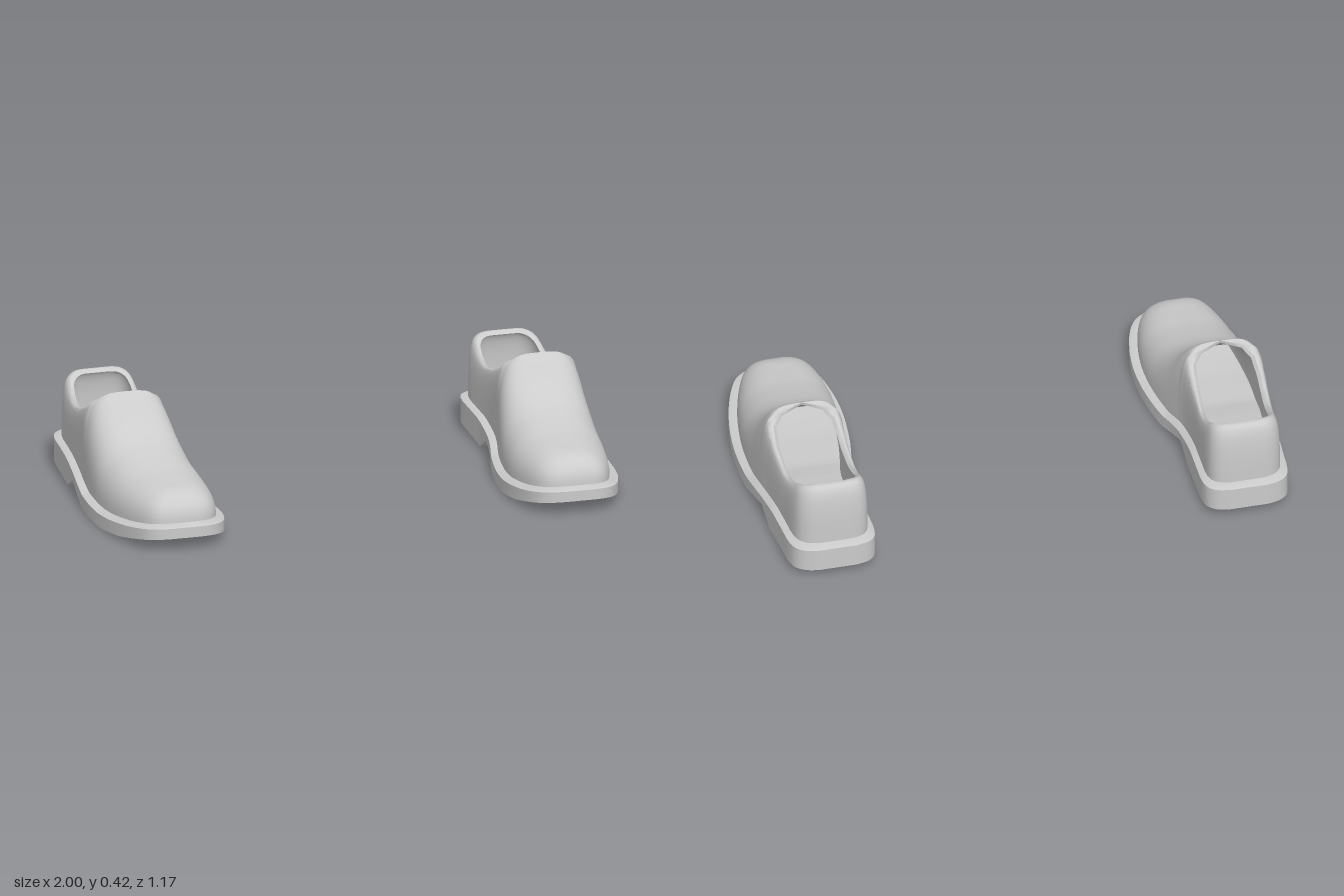
import * as THREE from 'three';
import { mergeVertices, toCreasedNormals } from 'three/addons/utils/BufferGeometryUtils.js';

// Piecewise-linear lookup in a table of [z, value] rows, z falling
function lookup(table, z) {
  if (z >= table[0][0]) return table[0][1];
  for (let i = 1; i < table.length; i++) {
    const [z0, v0] = table[i - 1], [z1, v1] = table[i];
    if (z >= z1) return v0 + (v1 - v0) * (z0 - z) / (z0 - z1);
  }
  return table[table.length - 1][1];
}

// Sole plan: z, inner x, outer x from toe to heel
const PLAN = [
  [0.585, 0.71, 0.82], [0.575, 0.665, 0.865], [0.55, 0.625, 0.9], [0.5, 0.593, 0.93],
  [0.4, 0.566, 0.965], [0.3, 0.556, 0.986], [0.2, 0.56, 0.997], [0.1, 0.572, 1.0],
  [0, 0.592, 0.995], [-0.074, 0.61, 0.989], [-0.095, 0.614, 0.987], [-0.13, 0.62, 0.983],
  [-0.175, 0.624, 0.978], [-0.265, 0.628, 0.97], [-0.4, 0.626, 0.96], [-0.5, 0.626, 0.952],
  [-0.545, 0.637, 0.937], [-0.572, 0.665, 0.905], [-0.585, 0.715, 0.86],
];
const SOLE_TOP = [[0.585, 0.09], [0.45, 0.07], [0.3, 0.055], [0.2, 0.05], [0, 0.055], [-0.1, 0.075], [-0.3, 0.107], [-0.585, 0.12]];
const SOLE_BOTTOM = [[0.585, 0.05], [0.4, 0.016], [0.25, 0], [0.15, 0], [0, 0.005], [-0.175, 0.055], [-0.265, 0.007], [-0.585, 0.03]];
// Height of the vamp ridge, then of the opening's rim
const RIM_Y = [[0.4, 0.21], [0.3, 0.226], [0.2, 0.25], [0.12, 0.276], [0.05, 0.315], [0, 0.36], [-0.04, 0.4], [-0.07, 0.42],
  [-0.1, 0.375], [-0.14, 0.35], [-0.22, 0.315], [-0.325, 0.293], [-0.4, 0.313], [-0.5, 0.37]];
// Rim width as a share of the base width: 0 where the vamp is closed
const RIM_W = [[-0.07, 0], [-0.09, 0.55], [-0.12, 0.74], [-0.2, 0.83], [-0.35, 0.86], [-0.555, 0.85]];
// Squareness of the arched cross-section
const SQUARE = [[0.35, 2.4], [0.15, 2.5], [-0.05, 3.6], [-0.55, 3]];

// Closed plan ring: toe to heel on the outer side, back on the inner side; c is the centre line
function planRing(sub = 3) {
  const side = k => new THREE.CatmullRomCurve3(PLAN.map(p => new THREE.Vector3(p[k], 0, p[0]))).getPoints((PLAN.length - 1) * sub);
  const inner = side(1), outer = side(2);
  const row = (p, i) => ({ x: p.x, z: (inner[i].z + outer[i].z) / 2, c: (inner[i].x + outer[i].x) / 2 });
  return [...outer.map(row), ...inner.map(row).reverse()];
}

// Skin a stack of closed rings; sign -1 mirrors the result in x
function loft(rings, sign, crease) {
  const n = rings[0].length, pos = [], index = [];
  rings.forEach(r => r.forEach(p => pos.push(p[0] * sign, p[1], p[2])));
  for (let i = 0; i < rings.length - 1; i++) {
    for (let j = 0; j < n; j++) {
      const a = i * n + j, b = i * n + (j + 1) % n, c = a + n, d = b + n;
      if (sign > 0) index.push(a, b, d, a, d, c);
      else index.push(a, d, b, a, c, d);
    }
  }
  let geo = new THREE.BufferGeometry();
  geo.setAttribute('position', new THREE.Float32BufferAttribute(pos, 3));
  geo.setIndex(index);
  geo = mergeVertices(geo, 1e-5);
  // drop collapsed triangles
  const src = geo.index.array, keep = [];
  for (let i = 0; i < src.length; i += 3) {
    const [a, b, c] = [src[i], src[i + 1], src[i + 2]];
    if (a !== b && b !== c && a !== c) keep.push(a, b, c);
  }
  geo.setIndex(keep);
  return toCreasedNormals(geo, crease);
}

function soleGeometry(plan, sign) {
  const ring = (k, kz, y) => plan.map(p => [p.c + (p.x - p.c) * k, y(p.z), p.z * kz]);
  const bottom = z => lookup(SOLE_BOTTOM, z), top = z => lookup(SOLE_TOP, z);
  return loft([
    ring(0, 1, bottom), ring(1, 1, bottom), ring(1, 1, top),
    ring(0.86, 0.945, z => top(z) + 0.01), ring(0, 0.945, z => top(z) + 0.01),
  ], sign, 0.5);
}

function upperGeometry(plan, sign, rows = 14) {
  // Each column climbs from the welt to the rim, or to the ridge of the vamp
  const columns = plan.map(p => {
    const zb = p.z * 0.943, xb = (p.x - p.c) * 0.865, yb = lookup(SOLE_TOP, p.z) + 0.005;
    const zr = zb > 0.3 ? 0.3 + (zb - 0.3) * 0.4 : zb > -0.07 ? zb : -0.07 + (zb + 0.07) * 0.9;
    const xr = xb * lookup(RIM_W, zb), yr = lookup(RIM_Y, zr), e = 2 / lookup(SQUARE, zb);
    return Array.from({ length: rows + 1 }, (_, i) => {
      const a = i / rows * Math.PI / 2;
      const f = i === rows ? 0 : Math.cos(a) ** e, g = Math.sin(a) ** e;
      return [p.c + xr + (xb - xr) * f, yb + (yr - yb) * g, zr + (zb - zr) * f];
    });
  });
  const outside = Array.from({ length: rows + 1 }, (_, i) => columns.map(col => col[i]));
  // Lining: the same rings pulled inward, running back down to the sole
  const lining = outside.map((r, i) => r.map((p, j) =>
    [plan[j].c + (p[0] - plan[j].c) * 0.9, p[1] - 0.012 * i / rows, p[2] * 0.97])).reverse();
  return loft([...outside, ...lining], sign, 0.75);
}

export function createModel() {
  const model = new THREE.Group();
  model.name = 'pairOfShoes';
  const material = new THREE.MeshStandardMaterial({ color: 0xcccccc, side: THREE.DoubleSide });
  const plan = planRing();
  for (const [sign, side] of [[1, 'left'], [-1, 'right']]) {
    const shoe = new THREE.Group();
    shoe.name = side + 'Shoe';
    const sole = new THREE.Mesh(soleGeometry(plan, sign), material);
    sole.name = side + 'SoleAndHeel';
    const upper = new THREE.Mesh(upperGeometry(plan, sign), material);
    upper.name = side + 'Upper';
    shoe.add(sole, upper);
    model.add(shoe);
  }
  return model;
}
